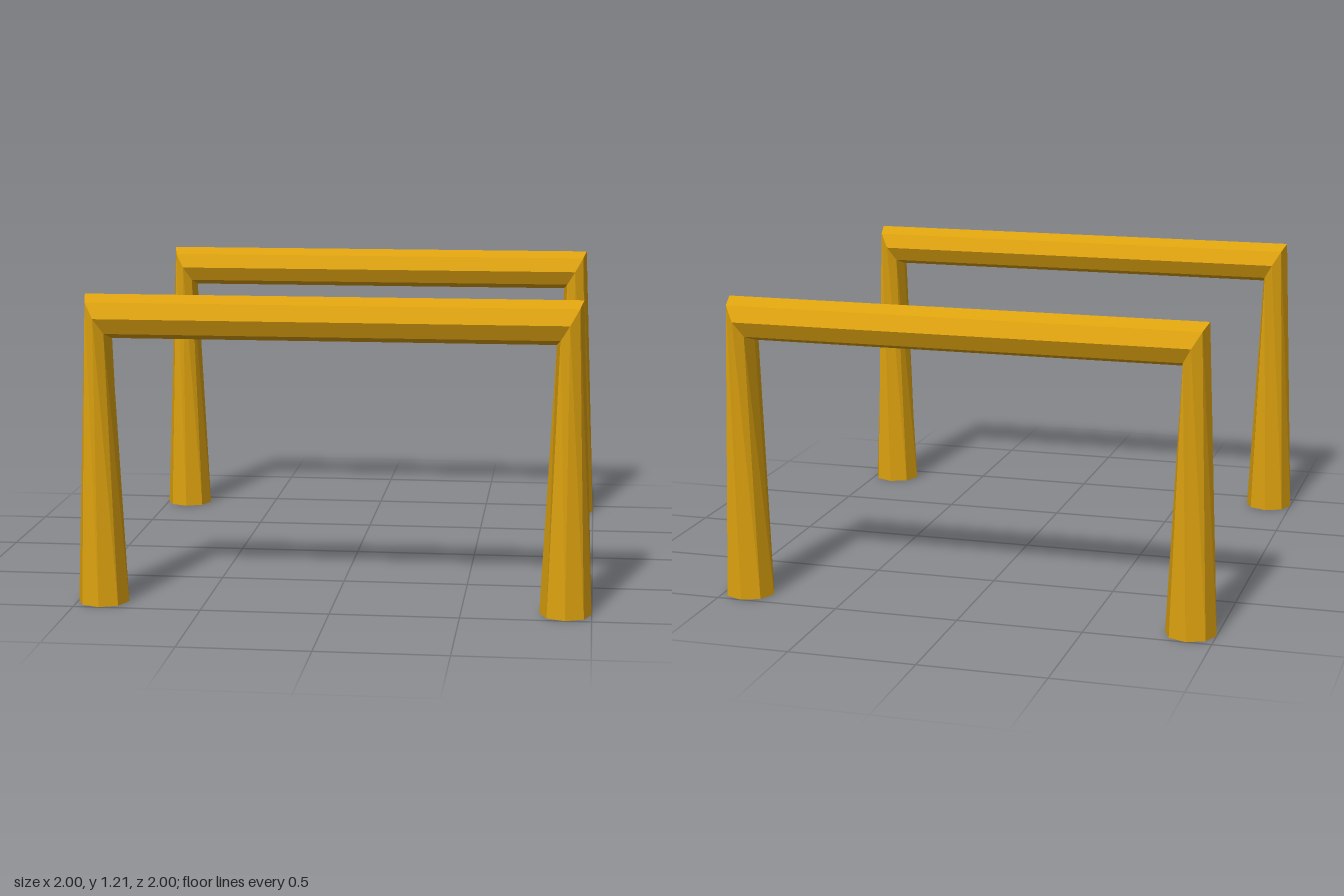
import * as THREE from 'three';

const SIDES = 8;

// Octagonal ring: rx and ry spread it towards the outside of the arch, z depth is 0.1
function ring(x, y, rx, ry) {
  return Array.from({ length: SIDES }, (_, i) => {
    const a = (i / SIDES) * Math.PI * 2;
    return new THREE.Vector3(x + rx * Math.cos(a), y + ry * Math.cos(a), 0.1 * Math.sin(a));
  });
}

// Skin between two rings, optionally closing the first or last one
function loft(a, b, capStart, capEnd) {
  const pts = [];
  for (let i = 0; i < SIDES; i++) {
    const j = (i + 1) % SIDES;
    pts.push(a[i], b[i], b[j], a[i], b[j], a[j]);
    if (i > 0 && i < SIDES - 1) {
      if (capStart) pts.push(a[0], a[i], a[j]);
      if (capEnd) pts.push(b[0], b[j], b[i]);
    }
  }
  const geometry = new THREE.BufferGeometry().setFromPoints(pts);
  geometry.computeVertexNormals();
  return geometry;
}

export function createModel() {
  const model = new THREE.Group();
  model.name = 'pairOfRails';
  const gold = new THREE.MeshStandardMaterial({ color: 0xdda20f, flatShading: true });
  gold.name = 'golden yellow';

  // Rings along the arch: left foot, left mitre, right mitre, right foot
  const rings = [
    ring(0.9, 0, 0.1, 0),
    ring(0.9, 1.125, 0.05, 0.085),
    ring(-0.9, 1.125, -0.05, 0.085),
    ring(-0.9, 0, -0.1, 0),
  ];
  const parts = ['leftLeg', 'crossbar', 'rightLeg'].map((name, i) => ({
    name,
    geometry: loft(rings[i], rings[i + 1], i === 0, i === 2),
  }));

  // Two identical arches, front and back
  for (const [name, z] of [['frontArch', 0.9], ['backArch', -0.9]]) {
    const arch = new THREE.Group();
    arch.name = name;
    arch.position.z = z;
    for (const part of parts) {
      const mesh = new THREE.Mesh(part.geometry, gold);
      mesh.name = part.name;
      arch.add(mesh);
    }
    model.add(arch);
  }
  return model;
}
